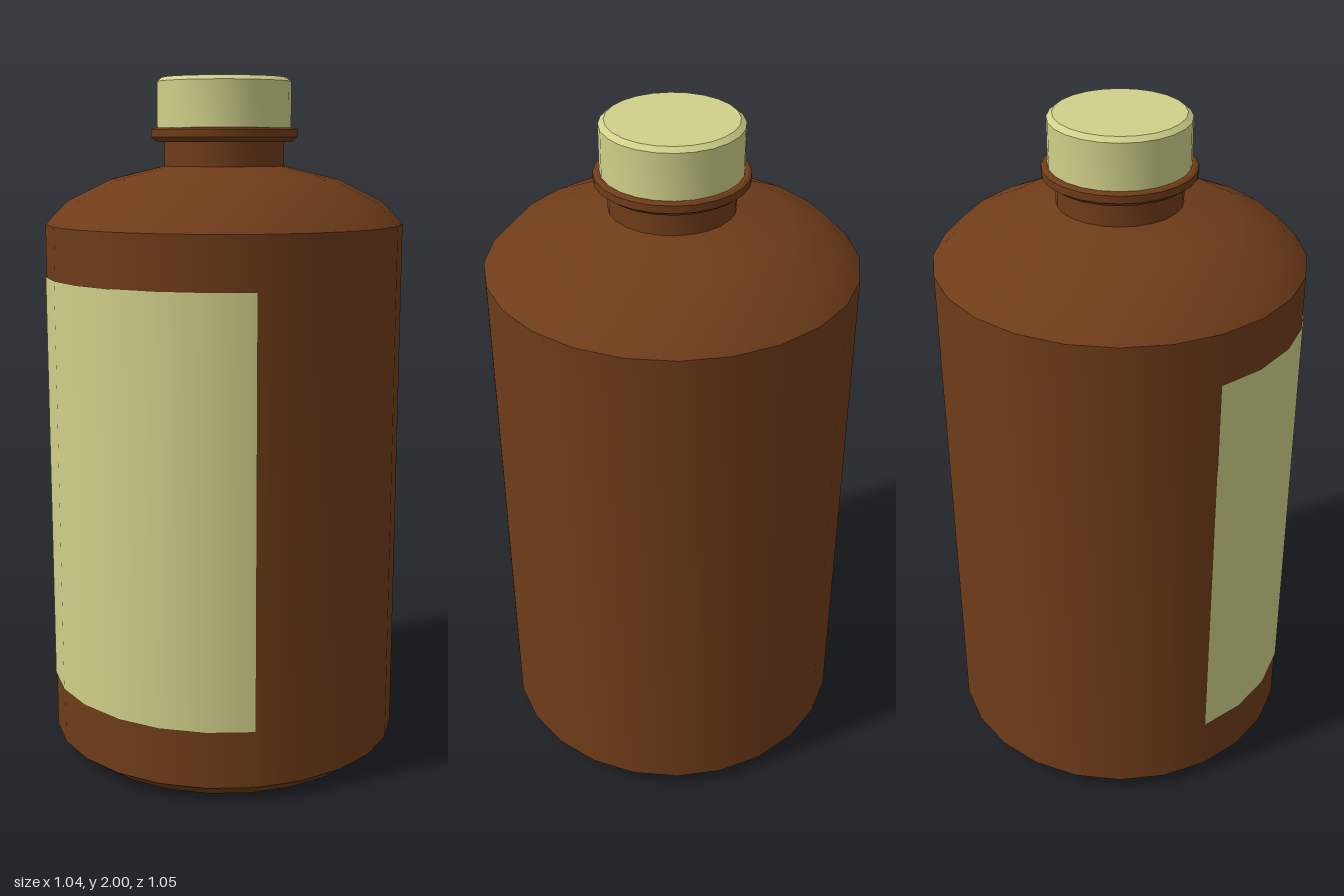
import * as THREE from 'three';
import { toCreasedNormals } from 'three/addons/utils/BufferGeometryUtils.js';

const SIDES = 24;
const CREASE = Math.PI / 6;

const brown = new THREE.MeshStandardMaterial({ color: 0x6f3c19 });
const cream = new THREE.MeshStandardMaterial({ color: 0xd0d08a });
const paper = new THREE.MeshStandardMaterial({ color: 0xd0d08a, side: THREE.DoubleSide });

// Turned part from [radius, height] points, listed bottom to top
function turned(name, points, material) {
  const profile = points.map(([r, y]) => new THREE.Vector2(r, y));
  const geometry = toCreasedNormals(new THREE.LatheGeometry(profile, SIDES), CREASE);
  const mesh = new THREE.Mesh(geometry, material);
  mesh.name = name;
  return mesh;
}

export function createModel() {
  const bottle = new THREE.Group();
  bottle.name = 'bottle';

  // Body with chamfered foot and rounded shoulder
  bottle.add(turned('body', [
    [0, 0], [0.46, 0], [0.522, 0.047], [0.522, 1.585],
    [0.46, 1.65], [0.33, 1.713], [0.175, 1.75],
  ], brown));

  // Neck
  bottle.add(turned('neck', [[0.175, 1.745], [0.175, 1.83]], brown));

  // Collar ring below the cap
  bottle.add(turned('collar', [
    [0.17, 1.818], [0.195, 1.818], [0.213, 1.832], [0.213, 1.853], [0.205, 1.858], [0, 1.858],
  ], brown));

  // Cap with bevelled rim
  bottle.add(turned('cap', [
    [0, 1.856], [0.195, 1.856], [0.195, 1.988], [0.18, 2], [0, 2],
  ], cream));

  // Label wrapped over the front quarter of the body
  const label = new THREE.Mesh(
    new THREE.CylinderGeometry(0.525, 0.525, 1.22, SIDES / 4, 1, true, -Math.PI / 4, Math.PI / 2),
    paper,
  );
  label.name = 'label';
  label.position.y = 0.825;
  bottle.add(label);

  return bottle;
}
